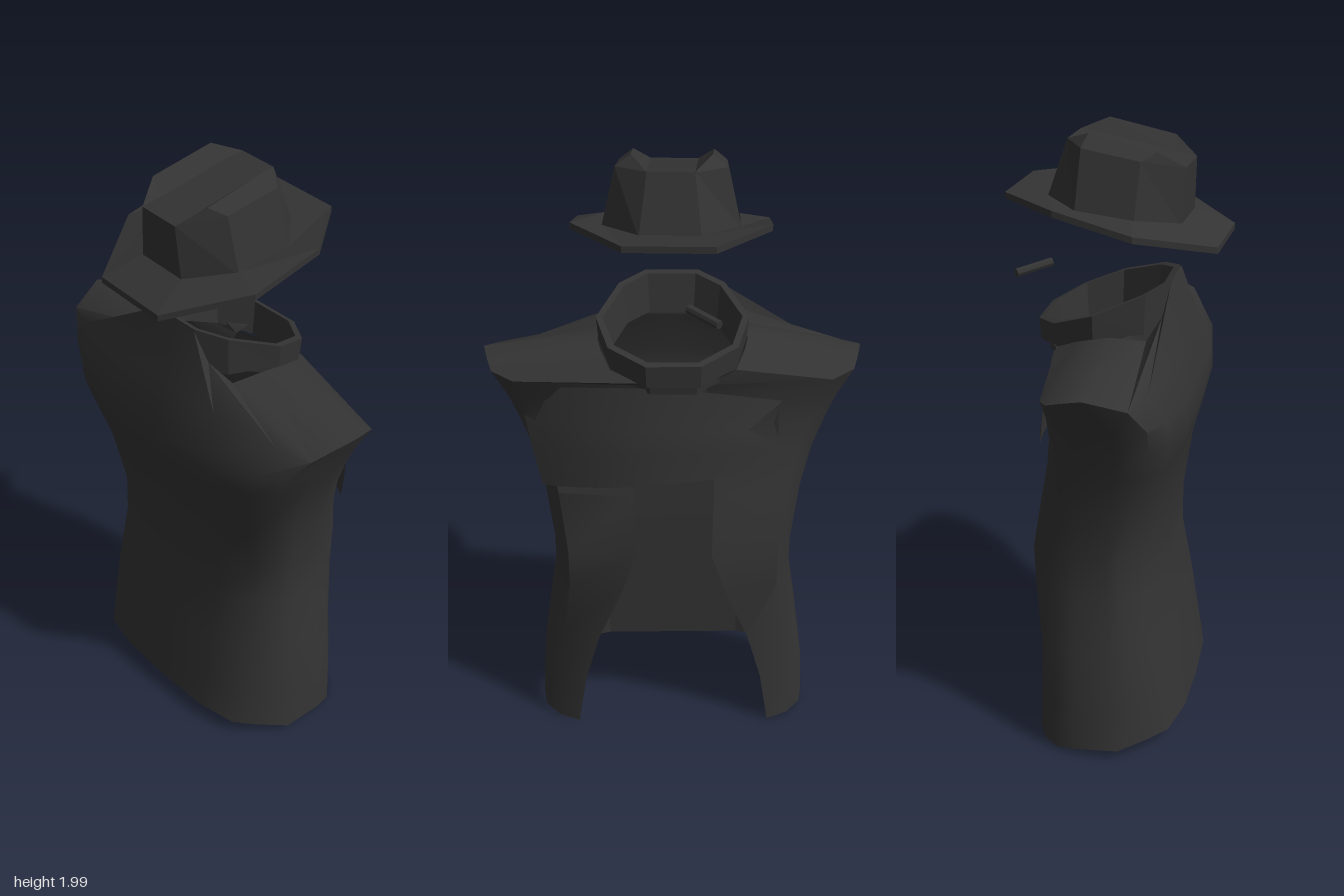
import * as THREE from 'three';
import { toCreasedNormals } from 'three/addons/utils/BufferGeometryUtils.js';

const smooth = new THREE.MeshStandardMaterial({ color: 0x333333, side: THREE.DoubleSide });
const flat = new THREE.MeshStandardMaterial({ color: 0x333333, side: THREE.DoubleSide, flatShading: true });

// Skin a list of equal-length rings of [x, y, z] points.
function loft(rings, closed) {
  const n = rings[0].length;
  const index = [];
  for (let r = 0; r < rings.length - 1; r++) {
    for (let i = 0; i < (closed ? n : n - 1); i++) {
      const j = (i + 1) % n;
      const a = r * n + i, b = r * n + j;
      index.push(a, b, b + n, a, b + n, a + n);
    }
  }
  const geo = new THREE.BufferGeometry();
  geo.setAttribute('position', new THREE.Float32BufferAttribute(rings.flat(2), 3));
  geo.setIndex(index);
  geo.computeVertexNormals();
  return geo;
}

function addMesh(parent, name, geo, material) {
  const mesh = new THREE.Mesh(geo, material);
  mesh.name = name;
  parent.add(mesh);
  return mesh;
}

const flipX = ([x, y, z]) => [-x, y, z];
// Half outline starting on the centre line -> full outline, -x side first.
const mirrorOpen = (half) => [...half.slice(1).reverse().map(flipX), ...half];
// Half outline from front to back, off the centre line -> closed ring.
const mirrorRing = (half) => [...half, ...half.slice().reverse().map(flipX)].reverse();

// Body: height, half width, front z, crease x, crease z, back z, half width of the back opening
function bodyRing([y, w, zf, xc, zc, zb, xo]) {
  const half = [
    [0, zf], [0.5 * xc, zf - 0.006], [0.85 * xc, zf * 0.6 + zc * 0.4], [xc, zc],
    [w, zc * 0.5], [0.99 * w, zb * 0.3], [0.965 * w, zb * 0.6],
    [Math.max(0.86 * w, xo + 0.03), zb * 0.85], [xo, zb],
  ];
  return half.map(([x, z]) => [x, y === 0 ? 0.035 + 0.12 * z : y, z]);
}

function buildBody() {
  const rows = [
    [0, 0.467, 0.272, 0.395, 0.175, -0.21, 0.33],
    [0.2, 0.458, 0.25, 0.4, 0.145, -0.21, 0.3],
    [0.38, 0.432, 0.222, 0.4, 0.11, -0.22, 0.25],
    [0.58, 0.4, 0.185, 0.385, 0.08, -0.245, 0.17],
    [0.72, 0.4, 0.185, 0.385, 0.07, -0.25, 0.125],
    [0.92, 0.43, 0.212, 0.41, 0.12, -0.205, 0.13],
    [1.05, 0.465, 0.245, 0.44, 0.165, -0.17, 0.13],
    [1.15, 0.505, 0.268, 0.475, 0.185, -0.15, 0.12],
    [1.23, 0.54, 0.26, 0.5, 0.185, -0.15, 0.11],
  ];
  const shoulder = [
    [0, 1.36, 0.23], [0.22, 1.34, 0.215], [0.45, 1.32, 0.175], [0.56, 1.315, 0.14],
    [0.602, 1.355, 0.015], [0.587, 1.338, -0.045], [0.57, 1.32, -0.1], [0.5, 1.3, -0.135], [0.1, 1.3, -0.17],
  ];
  // The front of the neckline rises into the collar
  const neck = [
    [0, 1.552, 0.174], [0.087, 1.55, 0.174], [0.13, 1.45, 0.155], [0.2, 1.395, 0.12],
    [0.235, 1.41, 0.01], [0.236, 1.4, -0.04], [0.225, 1.385, -0.09], [0.195, 1.35, -0.165], [0.08, 1.335, -0.23],
  ];
  const rings = [...rows.map(bodyRing), shoulder, neck].map(mirrorOpen);
  return toCreasedNormals(loft(rings, false), 0.75);
}

// Lining: recessed back wall behind the opening, closed underneath by a flat shelf
function addLining(parent) {
  const y = 0.33;
  const back = [[0, -0.125], [0.217, -0.125], [0.335, -0.16]];
  const wall = [[y, 1], [0.8, 1], [1.0, 0.95], [1.3, 0.8]].map(([h, k]) =>
    mirrorOpen(back.map(([x, z]) => [x, h, z * k])).reverse());
  addMesh(parent, 'liningBack', loft(wall, false), flat);

  const front = bodyRing([y, 0.432, 0.223, 0.391, 0.115, -0.2, 0.26]).slice(0, 7);
  const outline = [...mirrorOpen(front), ...mirrorOpen(back).reverse()];
  const shape = new THREE.Shape(outline.map((p) => new THREE.Vector2(p[0], p[p.length - 1])));
  const shelf = addMesh(parent, 'liningShelf', new THREE.ShapeGeometry(shape), flat);
  shelf.rotation.x = Math.PI / 2;
  shelf.position.y = y;
}

// Collar: tilted faceted band, deeper towards the front, with a rolled-in lip
function buildCollar() {
  const outline = [[0.085, 0.17], [0.17, 0.11], [0.24, -0.04], [0.2, -0.17], [0.085, -0.25]];
  const ring = (scale, drop, frontDrop) => mirrorRing(outline.map(([x, z]) => {
    const zs = -0.04 + (z + 0.04) * scale;
    return [x * scale, 1.49 + 0.36 * zs - drop - frontDrop * Math.max(0, z + 0.04), zs];
  }));
  return loft([ring(0.97, 0.075, 0.35), ring(1, 0, 0), ring(0.91, 0, 0), ring(0.84, 0.12, 0)], true);
}

// Sash: curved cloth sheet across the back, ending in two points
function buildSash() {
  const start = [[0.42, 0.94], [0.45, 1.06], [0.47, 1.16], [0.48, 1.26]];
  const end = [[-0.245, 1.01], [-0.345, 1.09], [-0.235, 1.16], [-0.345, 1.235]];
  const depth = [-0.25, -0.242, -0.232, -0.21];
  const rows = start.map((s, r) => {
    const row = [];
    for (let i = 0; i <= 12; i++) {
      const u = i / 12;
      const x = s[0] + (end[r][0] - s[0]) * u;
      const y = s[1] + (end[r][1] - s[1]) * u + Math.sin(u * Math.PI) * (r === 3 ? 0.06 : 0.01);
      const bend = x > 0.04 ? 0.66 : 0.4;
      row.push([x, y, depth[r] + bend * (x - 0.04) ** 2]);
    }
    return row;
  });
  return loft(rows, false);
}

// Hat: bent eight-sided brim and a crown pinched along the middle
function buildHat() {
  const hat = new THREE.Group();
  hat.name = 'hat';
  const rim = [[0.135, 0.33], [0.3, 0.11], [0.3, -0.13], [0.135, -0.33]];
  const rimY = [1.688, 1.75, 1.81, 1.81];
  const foot = [[0.092, 0.21], [0.205, 0.09], [0.21, -0.09], [0.092, -0.21]];
  const footY = [1.74, 1.77, 1.79, 1.8];
  const ring = (pts, ys, dy) => mirrorRing(pts.map(([x, z], i) => [x, ys[i] + dy, z]));
  const brimRings = [
    ring(foot, footY, -0.02), ring(rim, rimY, -0.02), ring(rim, rimY, 0), ring(foot, footY, 0),
  ];
  addMesh(hat, 'hatBrim', loft(brimRings, true), flat);

  const top = [[0.075, 1.905, 0.217], [0.165, 1.935, 0.1], [0.167, 1.965, -0.08], [0.07, 1.97, -0.15]];
  addMesh(hat, 'crownWall', loft([ring(foot, footY, -0.01), mirrorRing(top)], true), flat);

  // Crown top: rows across the hat from front to back (rim, ridge, valley, mirrored)
  const across = [
    [top[0], top[0], top[0]],
    [top[1], [0.125, 1.957, 0.14], [0.075, 1.915, 0.15]],
    [top[2], [0.12, 2.0, -0.07], [0.072, 1.96, -0.08]],
    [top[3], top[3], top[3]],
  ].map((r) => [...r.map(flipX), ...r.slice().reverse()]);
  addMesh(hat, 'crownTop', loft(across, false), flat);
  hat.rotation.y = -0.045;
  return hat;
}

// Small rolled stick floating behind the collar
function addStick(parent) {
  const a = new THREE.Vector3(-0.133, 1.56, -0.305);
  const b = new THREE.Vector3(-0.045, 1.575, -0.215);
  const dir = b.clone().sub(a);
  const stick = addMesh(parent, 'rolledStick', new THREE.CylinderGeometry(0.014, 0.014, dir.length(), 8), flat);
  stick.position.copy(a).add(b).multiplyScalar(0.5);
  stick.quaternion.setFromUnitVectors(new THREE.Vector3(0, 1, 0), dir.normalize());
}

export function createModel() {
  const model = new THREE.Group();
  model.name = 'cloakAndHat';
  addMesh(model, 'cloakBody', buildBody(), smooth);
  addLining(model);
  addMesh(model, 'collar', buildCollar(), flat);
  addMesh(model, 'sash', buildSash(), smooth);
  model.add(buildHat());
  addStick(model);
  return model;
}
